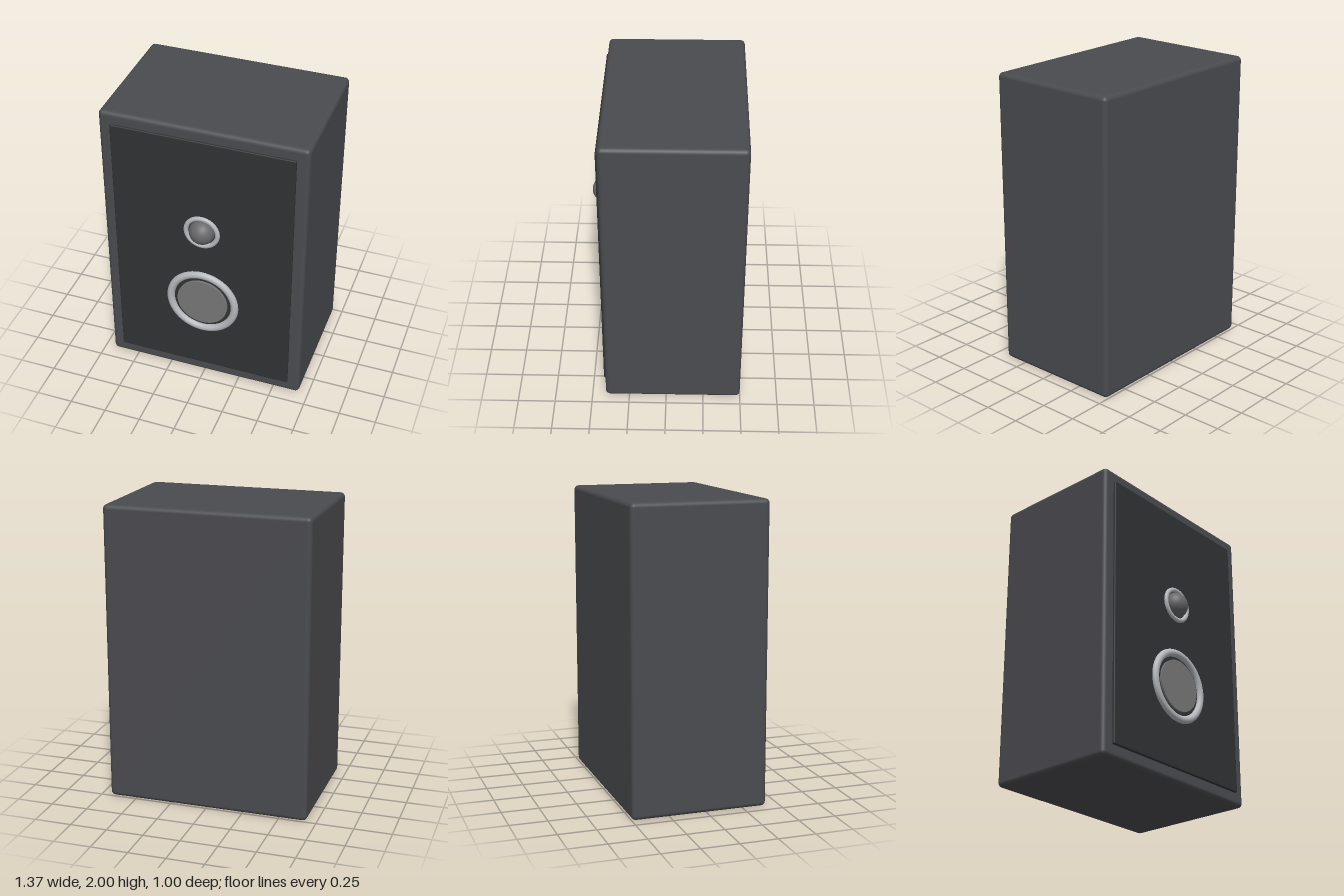
import * as THREE from 'three';
import { RoundedBoxGeometry } from 'three/addons/geometries/RoundedBoxGeometry.js';

export function createModel() {
  const model = new THREE.Group();
  const material = (color) => new THREE.MeshStandardMaterial({ color });
  const cabinetMat = material(0x4a4b4f);
  const baffleMat = material(0x303233);
  const ringMat = material(0xb4b6ba);
  const coneMat = material(0x777777);
  const domeMat = material(0x68686a);

  const add = (name, geometry, mat, x, y, z) => {
    const mesh = new THREE.Mesh(geometry, mat);
    mesh.name = name;
    mesh.position.set(x, y, z);
    model.add(mesh);
    return mesh;
  };

  // Cabinet with softly rounded edges, and the raised front panel
  add('cabinet', new RoundedBoxGeometry(1.37, 2, 0.91, 4, 0.03), cabinetMat, 0, 1, -0.045);
  add('frontPanel', new RoundedBoxGeometry(1.21, 1.835, 0.04, 3, 0.008), baffleMat, 0, 1.0025, 0.405);

  // Woofer: thick trim ring around a flat, slightly raised cone
  add('wooferRing', new THREE.TorusGeometry(0.225, 0.026, 20, 64), ringMat, 0, 0.65, 0.426);
  const cone = new THREE.CylinderGeometry(0.175, 0.175, 0.03, 48);
  cone.rotateX(Math.PI / 2);
  add('wooferCone', cone, coneMat, 0, 0.65, 0.425);

  // Tweeter: slim trim ring around a dome
  add('tweeterRing', new THREE.TorusGeometry(0.107, 0.016, 16, 48), ringMat, 0, 1.235, 0.427);
  const dome = new THREE.SphereGeometry(0.087, 40, 16, 0, Math.PI * 2, 0, Math.PI / 2);
  dome.rotateX(Math.PI / 2);
  add('tweeterDome', dome, domeMat, 0, 1.235, 0.415);

  return model;
}
